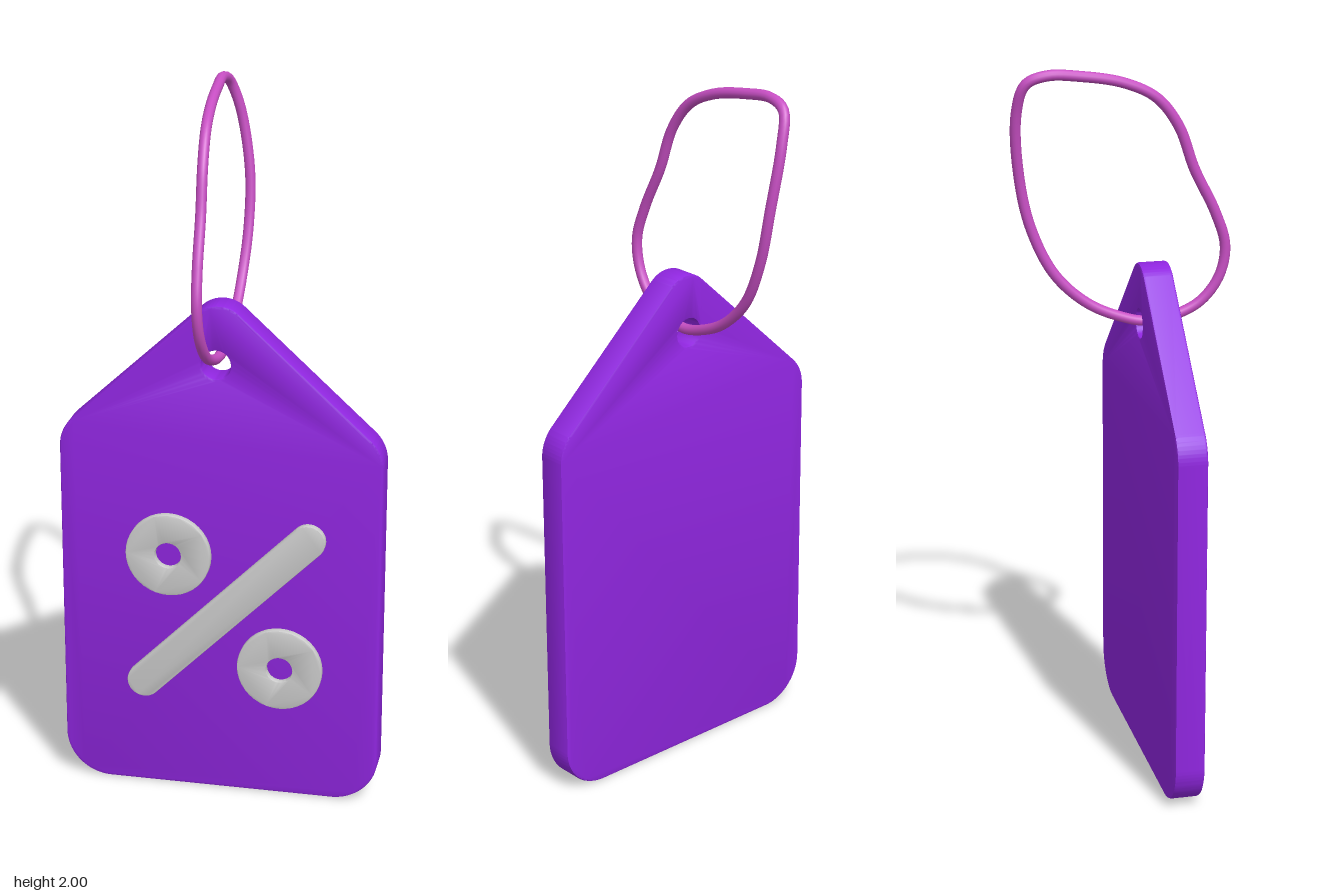
import * as THREE from 'three';
import { toCreasedNormals } from 'three/addons/utils/BufferGeometryUtils.js';

const purple = new THREE.MeshStandardMaterial({ color: 0x9026e0 });
const pink = new THREE.MeshStandardMaterial({ color: 0xc84fc4 });
const grey = new THREE.MeshStandardMaterial({ color: 0xcccccc });

// Counter-clockwise polygon of [x, y, radius] corners, each rounded by an arc
function roundedPolygon(corners) {
  const shape = new THREE.Shape();
  const n = corners.length;
  corners.forEach(([x, y, r], i) => {
    const v = new THREE.Vector2(x, y);
    const [px, py] = corners[(i + n - 1) % n];
    const [qx, qy] = corners[(i + 1) % n];
    const a = new THREE.Vector2(x - px, y - py).normalize();
    const b = new THREE.Vector2(qx - x, qy - y).normalize();
    const turn = Math.acos(a.dot(b));
    const inward = b.clone().sub(a).normalize();
    const c = v.addScaledVector(inward, r / Math.cos(turn / 2));
    const start = Math.atan2(-a.x, a.y);
    shape.absarc(c.x, c.y, r, start, start + turn, false);
  });
  shape.closePath();
  return shape;
}

// Lightly bevelled plate between two depths
function plate(name, shape, z0, z1, bevel, material) {
  const geometry = new THREE.ExtrudeGeometry(shape, {
    depth: z1 - z0 - 2 * bevel, curveSegments: 20,
    bevelThickness: bevel, bevelSize: bevel, bevelOffset: -bevel, bevelSegments: 2,
  });
  geometry.translate(0, 0, z0 + bevel);
  const mesh = new THREE.Mesh(toCreasedNormals(geometry, 0.6), material);
  mesh.name = name;
  return mesh;
}

function circleHole(x, y, r) {
  return new THREE.Path().absarc(x, y, r, 0, Math.PI * 2, true);
}

export function createModel() {
  const model = new THREE.Group();
  model.name = 'priceTag';

  // Tag body with a pointed top and a hole for the cord
  const outline = roundedPolygon([
    [-0.45, 0.005, 0.13], [0.45, 0.005, 0.13], [0.45, 1.063, 0.11],
    [-0.003, 1.478, 0.085], [-0.45, 1.063, 0.11],
  ]);
  outline.holes.push(circleHole(-0.01, 1.28, 0.04));
  model.add(plate('tagBody', outline, 0.051, 0.135, 0.007, purple));

  // Raised discount emblem: two rings and a slanted bar
  const emblem = new THREE.Group();
  emblem.name = 'emblem';
  for (const [name, x, y] of [['upperRing', -0.143, 0.72], ['lowerRing', 0.172, 0.4]]) {
    const ring = new THREE.Shape().absarc(x, y, 0.12, 0, Math.PI * 2, false);
    ring.holes.push(circleHole(x, y, 0.037));
    emblem.add(plate(name, ring, 0.13, 0.155, 0.003, grey));
  }
  const r = 0.048;
  const half = 0.328;
  const barShape = new THREE.Shape();
  barShape.absarc(half, 0, r, -Math.PI / 2, Math.PI / 2, false);
  barShape.absarc(-half, 0, r, Math.PI / 2, Math.PI * 1.5, false);
  barShape.closePath();
  const bar = plate('slantedBar', barShape, 0.13, 0.155, 0.003, grey);
  bar.rotation.z = Math.PI / 4;
  bar.position.set(0.017, 0.561, 0);
  emblem.add(bar);
  model.add(emblem);

  // Closed cord loop threaded through the hole
  const cordPoints = [
    [-0.012, 1.287, 0.07], [-0.016, 1.297, 0.14], [-0.02, 1.335, 0.22],
    [-0.025, 1.405, 0.272], [-0.028, 1.49, 0.287], [-0.032, 1.585, 0.258],
    [-0.036, 1.71, 0.197], [-0.04, 1.83, 0.152], [-0.045, 1.91, 0.09],
    [-0.051, 1.955, 0], [-0.058, 1.979, -0.12], [-0.062, 1.985, -0.21],
    [-0.054, 1.963, -0.264], [-0.028, 1.88, -0.285], [0, 1.71, -0.275],
    [0.003, 1.56, -0.243], [-0.003, 1.43, -0.18], [-0.006, 1.345, -0.09],
    [-0.009, 1.303, 0],
  ].map((p) => new THREE.Vector3(...p));
  const path = new THREE.CatmullRomCurve3(cordPoints, true);
  const cord = new THREE.Mesh(new THREE.TubeGeometry(path, 140, 0.0145, 12, true), pink);
  cord.name = 'cordLoop';
  model.add(cord);

  return model;
}
